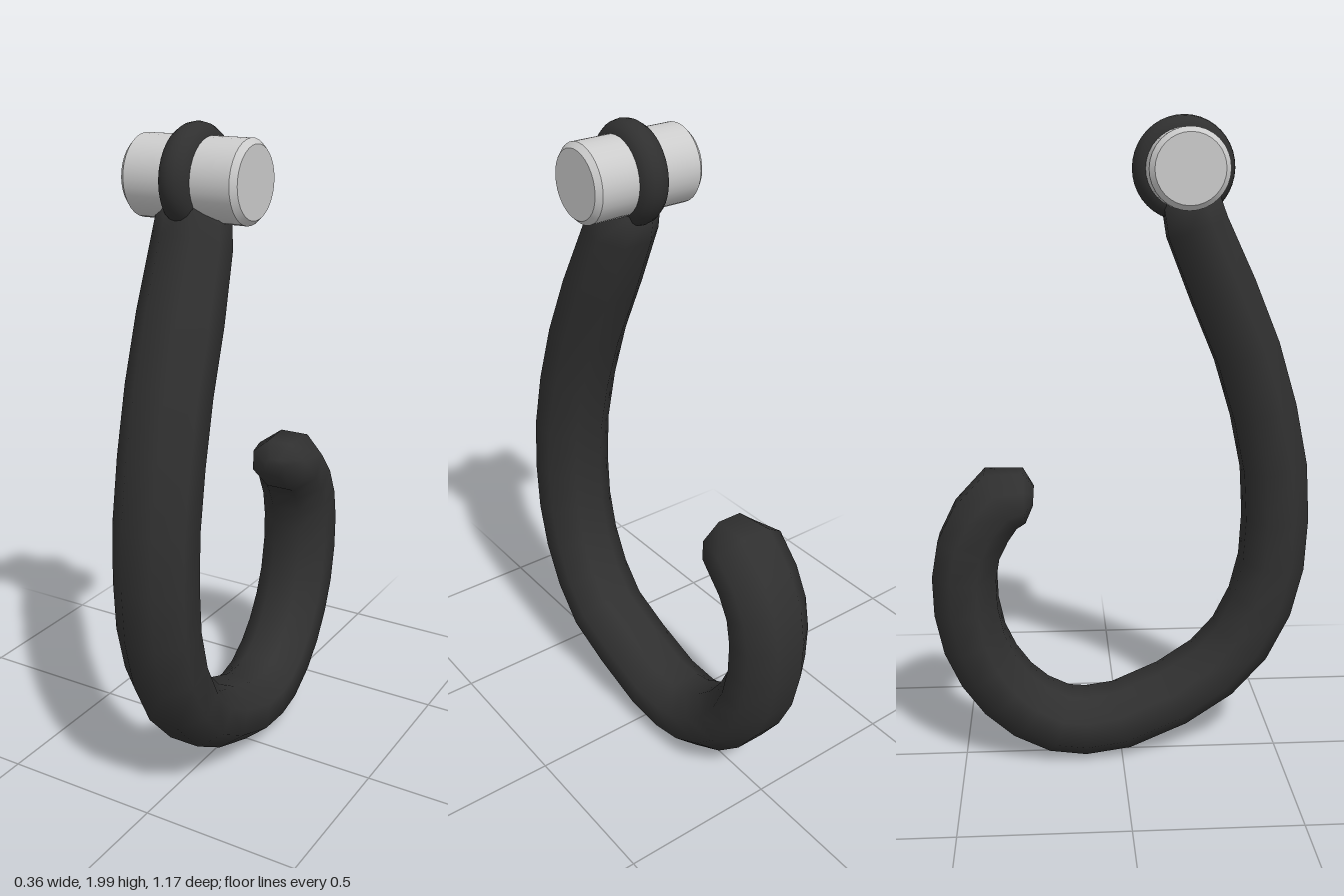
import * as THREE from 'three';

// Centreline of the hook: [z, y, scale of the section]
const PATH = [
  [0.2, 1.765, 0.84], [0.222, 1.68, 0.93], [0.305, 1.49, 1], [0.383, 1.305, 1], [0.44, 1.12, 1],
  [0.478, 0.94, 1], [0.488, 0.775, 1], [0.48, 0.625, 1], [0.447, 0.49, 1],
  [0.385, 0.365, 1], [0.295, 0.265, 1], [0.165, 0.185, 1], [0, 0.118, 1],
  [-0.115, 0.105, 1], [-0.2, 0.118, 1], [-0.29, 0.165, 1], [-0.362, 0.23, 1],
  [-0.42, 0.312, 1], [-0.462, 0.405, 1], [-0.485, 0.515, 1], [-0.488, 0.62, 1],
  [-0.472, 0.712, 1], [-0.432, 0.793, 1], [-0.372, 0.862, 1],
  [-0.3, 0.868, 0.8], [-0.272, 0.866, 0.3],
];
const SIDES = 8;

// The hook leans sideways: the shank swings to +x, the tip to -x
function sideShift(z, y) {
  const upper = THREE.MathUtils.clamp((1.75 - y) / 1.0, 0, 1);
  return z > 0.19 ? 0.043 * Math.sin(upper * Math.PI / 2) : 0.02 + 0.06 * z;
}

// Octagonal section swept along the centreline, closed at both ends
function hookGeometry() {
  const centres = PATH.map(([z, y]) => new THREE.Vector3(sideShift(z, y), y, z));
  const pos = [], index = [];
  const last = centres.length - 1;
  centres.forEach((c, i) => {
    const a = centres[Math.max(i - 1, 0)], b = centres[Math.min(i + 1, last)];
    const t = b.clone().sub(a).setX(0).normalize();
    const s = PATH[i][2];
    for (let j = 0; j < SIDES; j++) {
      const angle = (j + 0.5) / SIDES * Math.PI * 2;
      const n = Math.sin(angle) * 0.106 * s;
      pos.push(c.x + Math.cos(angle) * 0.128 * Math.max(s, 0.2), c.y + t.z * n, c.z - t.y * n);
      if (i < last) {
        const k = (j + 1) % SIDES, p = i * SIDES, q = p + SIDES;
        index.push(p + j, p + k, q + k, p + j, q + k, q + j);
      }
    }
  });
  for (let j = 1; j < SIDES - 1; j++) {
    const e = last * SIDES;
    index.push(0, j + 1, j, e, e + j, e + j + 1);
  }
  const g = new THREE.BufferGeometry();
  g.setAttribute('position', new THREE.Float32BufferAttribute(pos, 3));
  g.setIndex(index);
  g.computeVertexNormals();
  return g;
}

// Pin with small bevels, turned about y; each band has its own points for crisp edges
function pinGeometry() {
  const p = [[0, -0.182], [0.1, -0.182], [0.1, -0.182], [0.115, -0.166], [0.115, -0.166],
    [0.115, 0.166], [0.115, 0.166], [0.1, 0.182], [0.1, 0.182], [0, 0.182]];
  return new THREE.LatheGeometry(p.map(([r, y]) => new THREE.Vector2(r, y)), 32);
}

export function createModel() {
  const model = new THREE.Group();
  const dark = new THREE.MeshStandardMaterial({ color: 0x303030 });
  const grey = new THREE.MeshStandardMaterial({ color: 0xcccccc });
  const add = (name, geometry, material) => {
    const mesh = new THREE.Mesh(geometry, material);
    mesh.name = name;
    model.add(mesh);
    return mesh;
  };

  add('hook', hookGeometry(), dark);

  // Eye ring around the pin
  const eye = add('eyeRing', new THREE.TorusGeometry(0.101, 0.05, 16, 40), dark);
  eye.rotation.y = Math.PI / 2;
  eye.position.set(-0.002, 1.849, 0.181);

  // Cross pin
  const pin = add('crossPin', pinGeometry(), grey);
  pin.rotation.z = Math.PI / 2;
  pin.position.set(0, 1.849, 0.181);

  return model;
}
